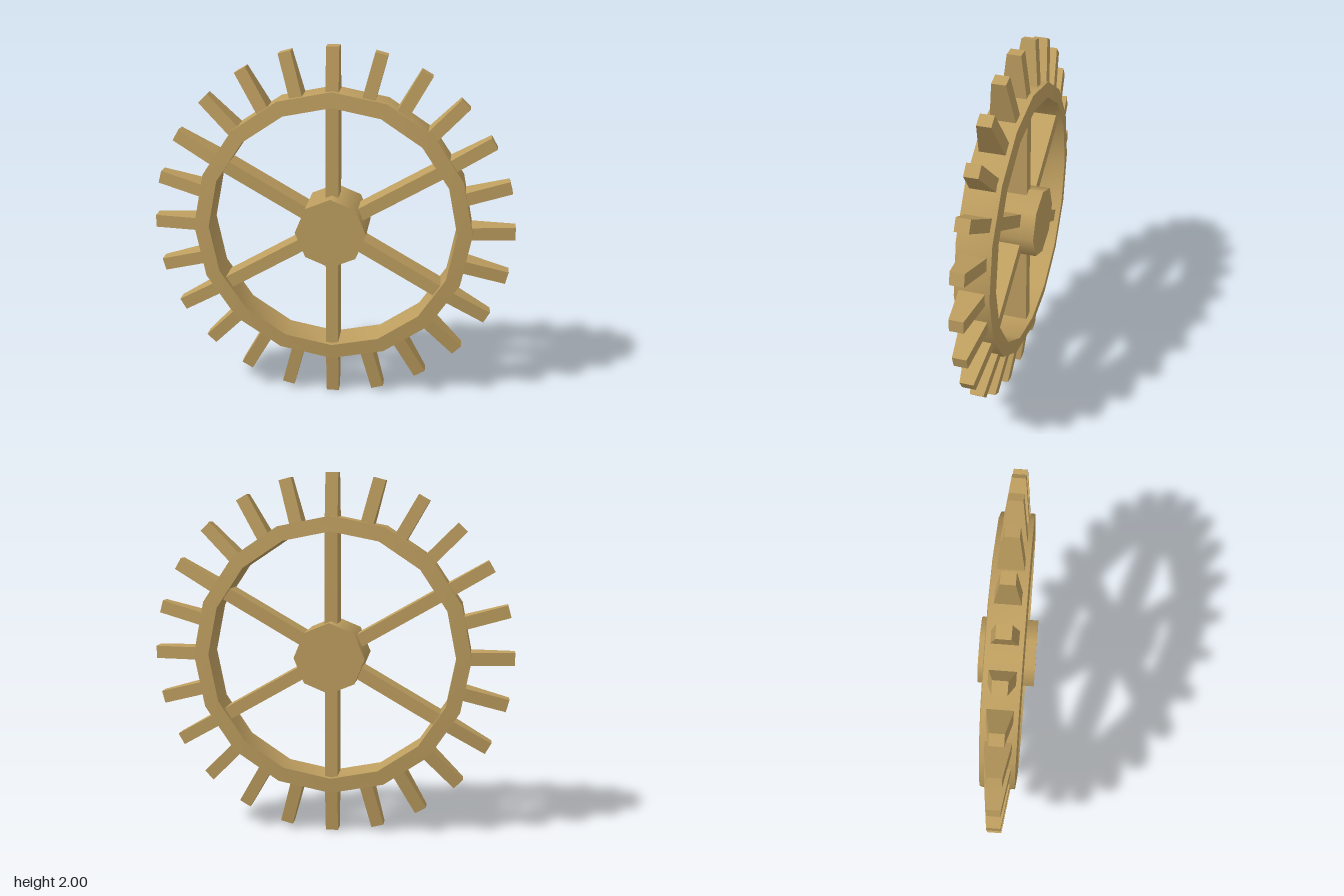
import * as THREE from 'three';
import { toCreasedNormals } from 'three/addons/utils/BufferGeometryUtils.js';

export function createModel() {
  const wood = new THREE.MeshStandardMaterial({ color: 0xbf9f60 });
  wood.name = 'wood';
  const wheel = new THREE.Group();
  wheel.name = 'gearWheel';
  wheel.position.y = 1;

  const add = (geometry, name, angle = 0) => {
    const mesh = new THREE.Mesh(geometry, wood);
    mesh.name = name;
    mesh.rotation.z = angle;
    wheel.add(mesh);
  };

  // Sixteen-sided rim, slightly wider on its inner edge
  const profile = [[0.685, -0.102], [0.769, -0.094], [0.769, 0.094], [0.685, 0.102], [0.685, -0.102]]
    .map(([r, y]) => new THREE.Vector2(r, y));
  const rim = toCreasedNormals(new THREE.LatheGeometry(profile, 16), 0.9);
  rim.rotateX(Math.PI / 2);
  add(rim, 'rim');

  // Octagonal hub
  add(new THREE.CylinderGeometry(0.195, 0.195, 0.31, 8).rotateX(Math.PI / 2), 'hub');

  // Six spokes from hub to rim
  const spoke = new THREE.BoxGeometry(0.07, 0.6, 0.145).translate(0, 0.42, 0);
  for (let i = 0; i < 6; i++) add(spoke, 'spoke', (i * Math.PI) / 3);

  // Twenty-four teeth, tapering in depth towards the tip
  const tooth = new THREE.BoxGeometry(0.07, 0.27, 0.146).translate(0, 0.865, 0);
  const p = tooth.attributes.position;
  for (let i = 0; i < p.count; i++) {
    if (p.getY(i) > 0.9) p.setZ(i, Math.sign(p.getZ(i)) * 0.038);
  }
  tooth.computeVertexNormals();
  for (let i = 0; i < 24; i++) add(tooth, 'tooth', (i * Math.PI) / 12);

  const model = new THREE.Group();
  model.name = 'model';
  model.add(wheel);
  return model;
}
